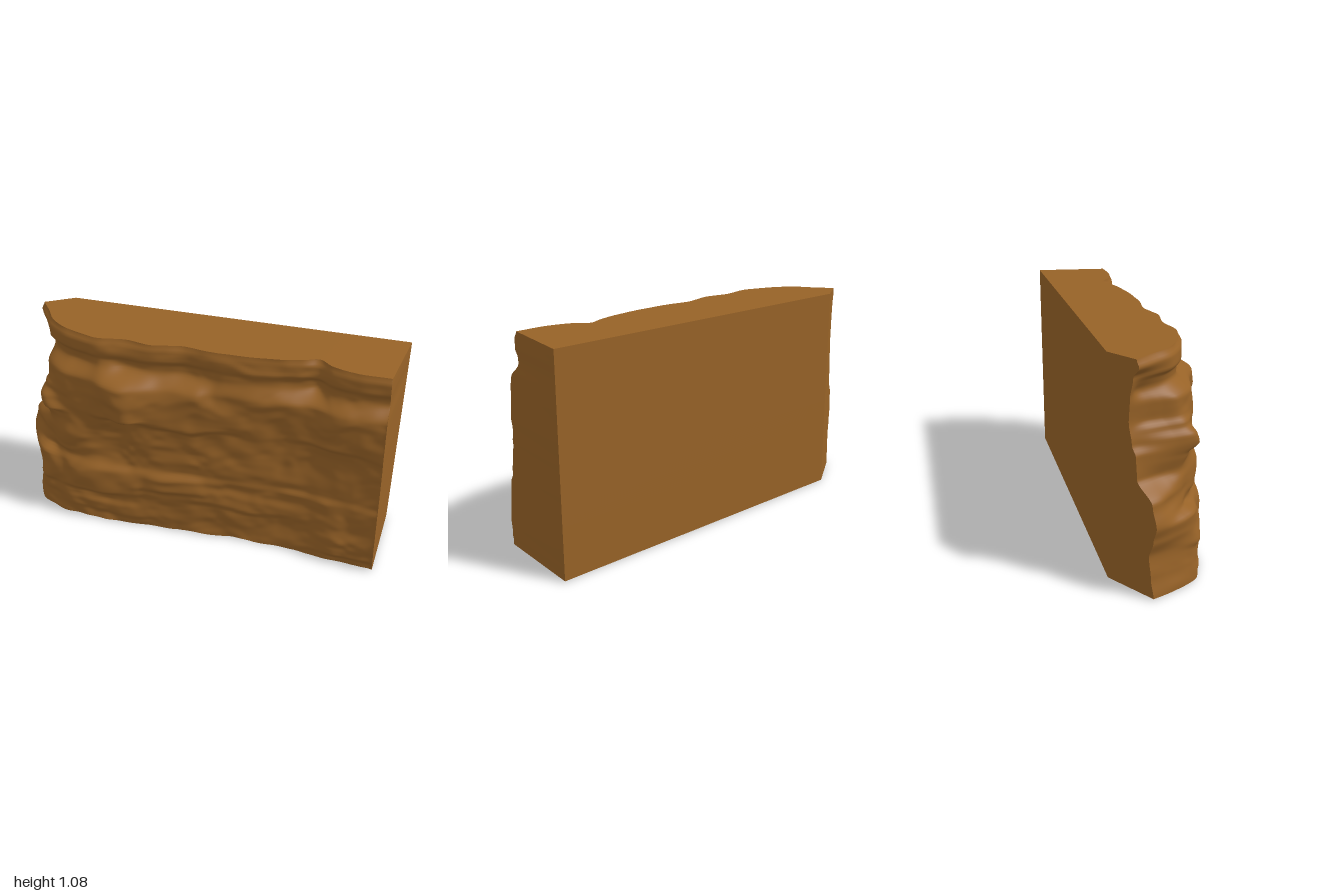
import * as THREE from 'three';

const Y0 = 0.005, Y1 = 1.085, BACK = -0.26, CORNER = -0.76;
const COLS = 192, ROWS = 110;

// Plan outlines of the rock face, left end to right end: [x, z]
const footLine = [[-0.985, -0.11], [-0.95, -0.02], [-0.9, 0.08], [-0.86, 0.13], [-0.78, 0.155], [-0.7, 0.185],
  [-0.6, 0.195], [-0.45, 0.2], [-0.3, 0.2], [-0.1, 0.193], [0.1, 0.175], [0.3, 0.16], [0.45, 0.155],
  [0.6, 0.17], [0.75, 0.193], [0.85, 0.193], [0.98, 0.216]];
const rimLine = [[-0.9, -0.165], [-0.87, -0.125], [-0.83, -0.07], [-0.78, 0], [-0.7, 0.06], [-0.6, 0.1],
  [-0.48, 0.13], [-0.35, 0.11], [-0.22, 0.125], [-0.05, 0.09], [0.1, 0.11], [0.3, 0.11], [0.5, 0.07],
  [0.6, 0.035], [0.67, 0.085], [0.8, 0.115], [0.95, 0.112]];

// Height tables: [y, value]
const setback = [[0, 0], [0.2, 0.02], [0.34, 0.1], [0.38, 0.24], [0.6, 0.36], [0.66, 0.34], [0.7, 0.36],
  [0.86, 0.42], [0.94, 1.02], [0.97, 1], [1.0, 0.82], [1.05, 0.84], [1.085, 1]];
const leftEnd = [[0, -0.99], [0.1, -0.975], [0.2, -0.965], [0.28, -0.985], [0.35, -1], [0.45, -0.98], [0.55, -0.905],
  [0.65, -0.9], [0.7, -0.88], [0.8, -0.865], [0.9, -0.87], [1.0, -0.885], [1.05, -0.912], [1.085, -0.9]];

// Ledges with a sharp underside, and hollows of negative depth: [x, y, half width, height, depth]
const ledges = [[-0.35, 0.67, 0.13, 0.24, 0.08], [-0.05, 0.65, 0.2, 0.2, 0.03], [0.72, 0.65, 0.22, 0.22, 0.018],
  [-0.1, 0.24, 0.15, 0.1, 0.02], [-0.55, 0.19, 0.18, 0.16, 0.028], [0.84, 0.02, 0.16, 0.18, 0.02],
  [-0.78, 0.62, 0.06, 0.1, 0.05], [-0.72, 0.4, 0.08, 0.15, 0.02], [-0.83, 0.2, 0.06, 0.14, 0.02],
  [0.25, 0.19, 0.3, 0.1, 0.012], [0.3, 0.98, 0.5, 0.05, 0.008], [-0.45, 0.06, 0.2, 0.08, 0.014],
  [-0.87, 0.35, 0.08, 0.22, -0.04], [-0.83, 0.76, 0.08, 0.22, -0.03]];

const smooth = (a, b, v) => THREE.MathUtils.smoothstep(v, a, b);
const mix = THREE.MathUtils.lerp;

function lookup(table, y) {
  let i = 1;
  while (i < table.length - 1 && table[i][0] < y) i++;
  const [a, va] = table[i - 1], [b, vb] = table[i];
  return mix(va, vb, smooth(a, b, y));
}

// Smooth seeded value noise
const hash = (i, j) => {
  const s = Math.sin(i * 127.1 + j * 311.7 + 4.2) * 43758.5453;
  return (s - Math.floor(s)) * 2 - 1;
};
function noise(x, y) {
  const i = Math.floor(x), j = Math.floor(y), u = smooth(0, 1, x - i), v = smooth(0, 1, y - j);
  return mix(mix(hash(i, j), hash(i + 1, j), u), mix(hash(i, j + 1), hash(i + 1, j + 1), u), v);
}

function relief(x, y) {
  const warpY = y + 0.03 * noise(x * 6, y * 5 + 9), warpX = x + 0.05 * noise(x * 5 + 40, y * 7);
  let d = 0.008 * noise(warpX * 4, warpY * 7) + 0.007 * noise(warpX * 9 + 20, warpY * 14)
    + 0.003 * noise(warpX * 18, warpY * 28);
  for (const [cx, cy, w, h, depth] of ledges) {
    const up = warpY - cy;
    d += depth * Math.exp(-(((warpX - cx) / w) ** 2)) * smooth(-0.012, 0.02, up) * (1 - smooth(h * 0.75, h * 1.2, up));
  }
  return d;
}

const toCurve = (line) => new THREE.CatmullRomCurve3(line.map(([x, z]) => new THREE.Vector3(x, 0, z)));
const foot = toCurve(footLine), rim = toCurve(rimLine);

// A point of the rock face; t runs left to right
function facePoint(t, y) {
  const p = foot.getPoint(t).lerp(rim.getPoint(t), lookup(setback, y));
  const start = foot.getPoint(0).lerp(rim.getPoint(0), lookup(setback, y));
  // The left end slides along the slanted back cut
  const endX = lookup(leftEnd, y), endZ = BACK + (CORNER - endX) * 0.667;
  const pull = 1 - smooth(0, 0.25, t);
  p.x += (endX - start.x) * pull;
  p.z += (endZ - start.z) * pull;
  // The right end stays on the flat cut
  p.x = mix(p.x, mix(0.98, 0.95, y / Y1), smooth(0.94, 1, t));
  const d = relief(p.x, y) * smooth(0, 0.1, t) * mix(1, 0.7, smooth(0.92, 1, y));
  const side = 1 - smooth(0.1, 0.35, t);
  p.x -= d * side * 0.4;
  p.z += d * (1 - side * 0.3);
  p.y = y;
  return p;
}

// Surface through rows of points; rows go up, points go right, seen from outside
function sheet(name, rows, material) {
  const n = rows[0].length, index = [];
  for (let j = 0; j < rows.length - 1; j++) {
    for (let i = 0; i < n - 1; i++) {
      const a = j * n + i, b = a + n;
      index.push(a, a + 1, b + 1, a, b + 1, b);
    }
  }
  const geometry = new THREE.BufferGeometry().setFromPoints(rows.flat());
  geometry.setIndex(index);
  geometry.computeVertexNormals();
  const mesh = new THREE.Mesh(geometry, material);
  mesh.name = name;
  return mesh;
}

export function createModel() {
  const group = new THREE.Group();
  group.name = 'cliffBlock';
  // The block is a hollow shell, open underneath
  const rock = new THREE.MeshStandardMaterial({ color: 0x976227, side: THREE.DoubleSide });

  const face = [];
  for (let j = 0; j <= ROWS; j++) {
    const y = mix(Y0, Y1, j / ROWS);
    face.push(Array.from({ length: COLS + 1 }, (_, i) => facePoint(i / COLS, y)));
  }
  // Uneven lower lip
  face[0].forEach((p) => { p.y += 0.005 * noise(p.x * 8, 3); });

  // Straight back edge above the rim
  const rimRow = face[ROWS];
  const backEdge = rimRow.map((p, i) =>
    new THREE.Vector3(i === COLS ? 1 : Math.max(p.x, CORNER), p.y, BACK));
  const upright = (x) => face.map((row) => new THREE.Vector3(x, row[0].y, BACK));
  const pairs = (a, b) => a.map((p, i) => [p, b[i]]);

  group.add(
    sheet('rockFace', face, rock),
    sheet('topCut', [rimRow, backEdge], rock),
    sheet('rightCut', pairs(face.map((row) => row[COLS]), upright(1)), rock),
    sheet('slantedCut', pairs(upright(CORNER), face.map((row) => row[0])), rock),
    sheet('backCut', pairs(upright(1), upright(CORNER)), rock),
  );
  return group;
}
